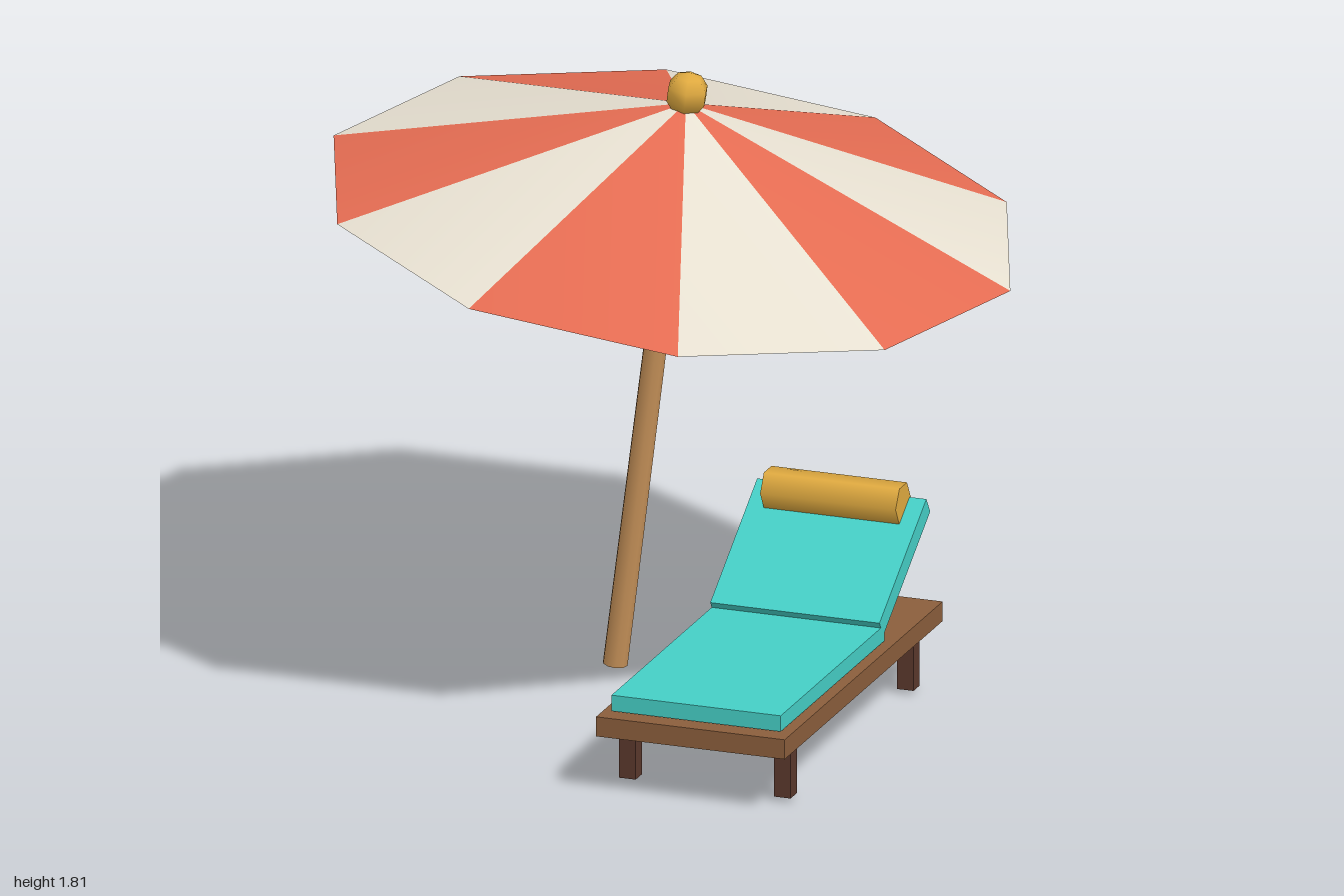
import * as THREE from 'three';

const mat = (name, color) => {
  const m = new THREE.MeshStandardMaterial({ color });
  m.name = name;
  return m;
};

export function createModel() {
  const coral = mat('coral', 0xe46c52);
  const cream = mat('cream', 0xe6dfd0);
  const teal = mat('teal', 0x45cfc6);
  const deckWood = mat('deckWood', 0x8b5e3c);
  const darkWood = mat('darkWood', 0x5a382c);
  const poleWood = mat('poleWood', 0xc8935a);
  const gold = mat('gold', 0xe0aa40);

  const add = (parent, name, geometry, material, x = 0, y = 0, z = 0) => {
    const mesh = new THREE.Mesh(geometry, material);
    mesh.name = name;
    mesh.position.set(x, y, z);
    parent.add(mesh);
    return mesh;
  };
  const group = (parent, name, x, y, z) => {
    const g = new THREE.Group();
    g.name = name;
    g.position.set(x, y, z);
    parent.add(g);
    return g;
  };

  const model = new THREE.Group();
  model.name = 'beachSet';

  // Parasol, leaning along its own pole axis
  const parasol = group(model, 'parasol', -0.195, 0.005, 0);
  parasol.rotation.z = -0.14;
  add(parasol, 'pole', new THREE.CylinderGeometry(0.032, 0.036, 1.71, 10), poleWood, 0, 0.855, 0);

  // Canopy of ten alternating panels, closed underneath by flat triangles
  const canopy = group(parasol, 'canopy', 0, 1.558, 0);
  const panels = 10, step = (Math.PI * 2) / panels;
  const rim = (i) => new THREE.Vector2(Math.sin(i * step), Math.cos(i * step));
  for (let i = 0; i < panels; i++) {
    const color = i % 2 ? cream : coral;
    add(canopy, 'canopyPanel', new THREE.ConeGeometry(1, 0.34, 1, 1, true, i * step, step), color);
    const triangle = new THREE.Shape([new THREE.Vector2(0, 0), rim(i), rim(i + 1)]);
    add(canopy, 'canopyUnderside', new THREE.ShapeGeometry(triangle).rotateX(Math.PI / 2), color, 0, -0.17, 0);
  }
  add(parasol, 'finial', new THREE.SphereGeometry(0.0645, 6, 5), gold, 0, 1.757, 0);

  // Sun lounger, turned slightly
  const lounger = group(model, 'lounger', 0.507, 0, 0.2525);
  lounger.rotation.y = 0.25;
  add(lounger, 'deck', new THREE.BoxGeometry(0.565, 0.058, 1.267), deckWood, 0, 0.198, 0);
  for (const x of [-0.232, 0.232]) {
    for (const z of [-0.493, 0.493]) {
      add(lounger, 'leg', new THREE.BoxGeometry(0.05, 0.158, 0.05), darkWood, x, 0.091, z);
    }
  }
  add(lounger, 'seatCushion', new THREE.BoxGeometry(0.507, 0.047, 0.834), teal, 0, 0.2565, 0.171);

  // Raised backrest with a bolster pillow
  const back = add(lounger, 'backCushion', new THREE.BoxGeometry(0.507, 0.056, 0.45), teal, 0, 0.398, -0.408);
  back.rotation.x = 0.58;
  const pillow = add(lounger, 'pillow', new THREE.CylinderGeometry(0.061, 0.061, 0.406, 6), gold, 0, 0.542, -0.53);
  pillow.rotation.z = Math.PI / 2;

  return model;
}
